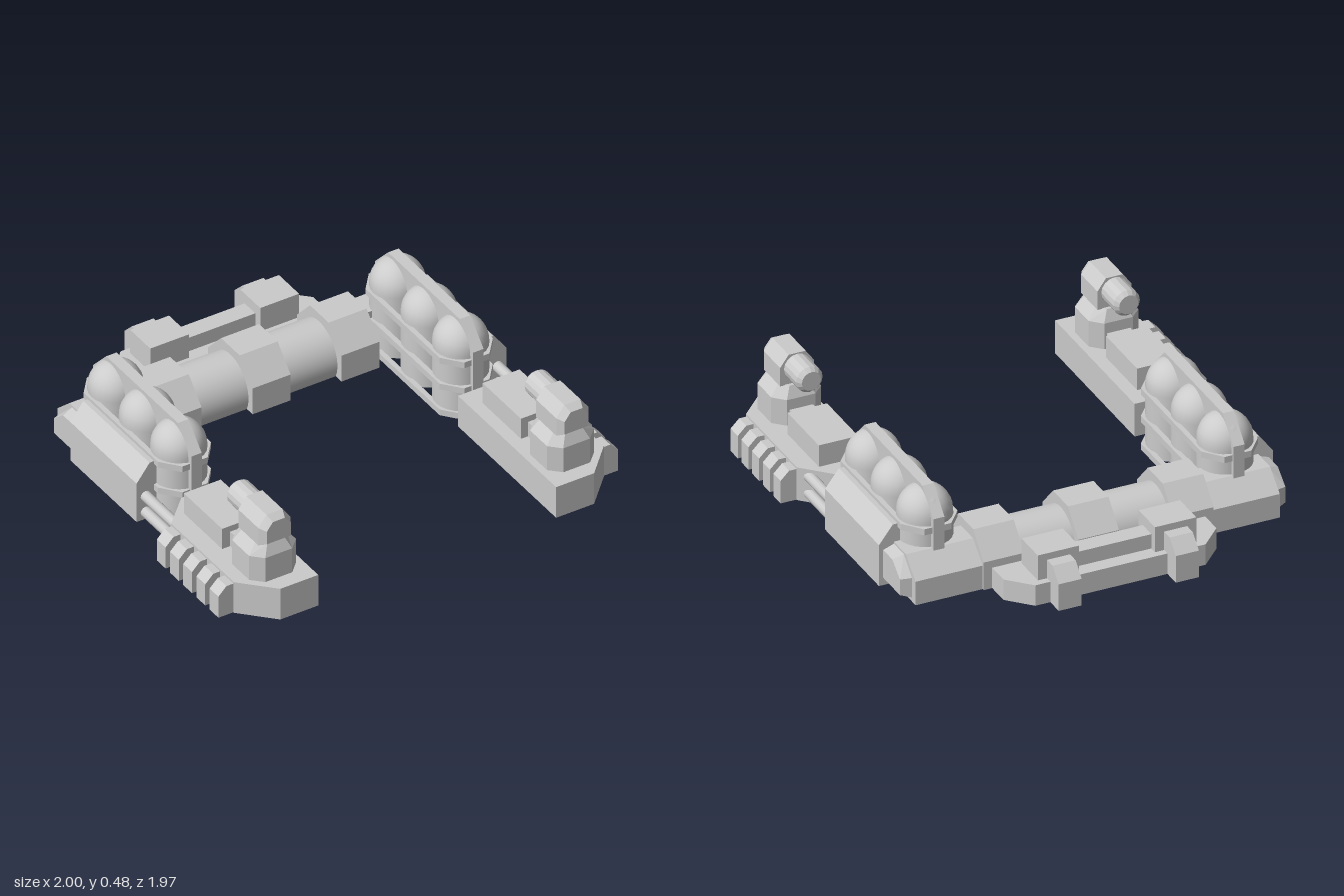
import * as THREE from 'three';

const mat = new THREE.MeshStandardMaterial({ color: 0xcccccc, side: THREE.DoubleSide });
const flat = new THREE.MeshStandardMaterial({ color: 0xcccccc, side: THREE.DoubleSide, flatShading: true });

function add(parent, name, geo, material = mat) {
  const m = new THREE.Mesh(geo, material);
  m.name = name;
  parent.add(m);
  return m;
}

const toShape = (pts) => new THREE.Shape(pts.map(([a, b]) => new THREE.Vector2(a, b)));
const extrude = (shape, depth) => new THREE.ExtrudeGeometry(shape, { depth, bevelEnabled: false });

// plan outline of [x, z] points raised from y0 to y1, with an optional hole
function plan(pts, y0, y1, hole) {
  const s = toShape(pts.map(([x, z]) => [x, -z]));
  if (hole) s.holes.push(toShape(hole.map(([x, z]) => [x, -z])));
  return extrude(s, y1 - y0).rotateX(-Math.PI / 2).translate(0, y0, 0);
}

// side profile of [z, y] points running from x0 to x1
function alongX(pts, x0, x1) {
  return extrude(toShape(pts.map(([z, y]) => [-z, y])), x1 - x0).rotateY(Math.PI / 2).translate(x0, 0, 0);
}

// front profile of [x, y] points running from z0 to z1
function alongZ(pts, z0, z1) {
  return extrude(toShape(pts), z1 - z0).translate(0, 0, z0);
}

function box(x0, x1, y0, y1, z0, z1) {
  return new THREE.BoxGeometry(x1 - x0, y1 - y0, z1 - z0)
    .translate((x0 + x1) / 2, (y0 + y1) / 2, (z0 + z1) / 2);
}

// shrink the end of a solid that lies at the given coordinate on an axis
function taper(geo, axis, at, centre, scale) {
  const p = geo.attributes.position;
  const v = new THREE.Vector3();
  for (let i = 0; i < p.count; i++) {
    v.fromBufferAttribute(p, i);
    if (Math.abs(v[axis] - at) > 1e-4) continue;
    for (const k of ['x', 'y', 'z']) if (k !== axis) v[k] = centre[k] + (v[k] - centre[k]) * scale[k];
    p.setXYZ(i, v.x, v.y, v.z);
  }
  geo.computeVertexNormals();
  return geo;
}

// drop the faces lying on the ground so the hull is hollow below
function hollow(geo) {
  const g = geo.index ? geo.toNonIndexed() : geo;
  const p = g.attributes.position.array;
  const keep = [];
  for (let i = 0; i < p.length; i += 9) {
    if (Math.max(p[i + 1], p[i + 4], p[i + 7]) > 1e-4) keep.push(...p.slice(i, i + 9));
  }
  const out = new THREE.BufferGeometry();
  out.setAttribute('position', new THREE.Float32BufferAttribute(keep, 3));
  out.computeVertexNormals();
  return out;
}

// rectangle with cut corners
function cutRect(x0, x1, z0, z1, cx, cz) {
  return [[x0 + cx, z0], [x1 - cx, z0], [x1, z0 + cz], [x1, z1 - cz],
    [x1 - cx, z1], [x0 + cx, z1], [x0, z1 - cz], [x0, z0 + cz]];
}

function frontPod() {
  const g = new THREE.Group();
  g.name = 'frontPod';
  add(g, 'podHull', hollow(plan([[0.595, 0.2], [0.79, 0.2], [0.925, 0.335], [0.925, 0.835],
    [0.785, 0.98], [0.595, 0.98]], 0, 0.16)));
  add(g, 'podBox', box(0.655, 0.84, 0.16, 0.265, 0.3, 0.605));
  add(g, 'podLink', box(0.69, 0.8, 0.16, 0.235, 0.605, 0.69));
  // side fins
  for (let i = 0; i < 5; i++) {
    const z = 0.34 + i * 0.105;
    add(g, 'sideFin', hollow(alongZ([[0.92, 0], [1, 0], [1, 0.11], [0.96, 0.15], [0.92, 0.15]], z, z + 0.07)));
  }
  // turret
  const cx = 0.745;
  const oct = cutRect(cx - 0.117, cx + 0.117, 0.67, 0.905, 0.05, 0.05);
  add(g, 'turretBase', plan(oct, 0.16, 0.285));
  add(g, 'turretShoulder', taper(plan(oct, 0.285, 0.338), 'y', 0.338,
    new THREE.Vector3(cx, 0, 0.79), { x: 0.65, z: 0.8 }));
  const head = [[-0.08, 0.335], [0.08, 0.335], [0.08, 0.425], [0.04, 0.48], [-0.04, 0.48], [-0.08, 0.425]]
    .map(([x, y]) => [x + cx, y]);
  add(g, 'turretHead', alongZ(head, 0.71, 0.87));
  add(g, 'turretFace', taper(alongZ(head, 0.87, 0.905), 'z', 0.905,
    new THREE.Vector3(cx, 0.405, 0), { x: 0.75, y: 0.72 }));
  const barrel = [[0, 0], [0.045, 0], [0.062, 0.02], [0.062, 0.15]].map(([r, h]) => new THREE.Vector2(r, h));
  add(g, 'turretBarrel', new THREE.LatheGeometry(barrel, 16).rotateX(Math.PI / 2).translate(cx, 0.413, 0.57), flat);
  return g;
}

function tankRack() {
  const g = new THREE.Group();
  g.name = 'tankRack';
  const cx = 0.705;
  // domed tanks
  for (let i = 0; i < 3; i++) {
    const pts = [new THREE.Vector2(0.122, 0), new THREE.Vector2(0.122, 0.31)];
    for (let k = 1; k <= 8; k++) {
      const a = (k / 8) * Math.PI / 2;
      pts.push(new THREE.Vector2(0.122 * Math.cos(a), 0.315 + 0.125 * Math.sin(a)));
    }
    add(g, 'tank', new THREE.LatheGeometry(pts, 24).translate(cx, 0, 0.045 - i * 0.25));
  }
  // straps and central rib
  const outer = cutRect(0.572, 0.838, -0.585, 0.175, 0.07, 0.085);
  const inner = cutRect(0.595, 0.815, -0.56, 0.15, 0.065, 0.08);
  for (const y of [0, 0.135, 0.27]) add(g, 'strap', plan(outer, y, y + 0.03, inner));
  add(g, 'rib', alongX([[0.187, 0], [0.187, 0.345], [0.08, 0.455], [-0.49, 0.455], [-0.595, 0.345], [-0.595, 0]],
    cx - 0.026, cx + 0.026));
  // outer armour
  add(g, 'sidePanel', hollow(alongZ([[0.825, 0], [0.925, 0], [0.925, 0.2], [0.86, 0.285], [0.825, 0.285]],
    -0.467, 0.06)));
  // pipes to the front pod
  for (const y of [0.038, 0.12]) {
    add(g, 'pipe', new THREE.CylinderGeometry(0.025, 0.025, 0.29, 12).rotateX(Math.PI / 2).translate(0.88, y, 0.19));
  }
  return g;
}

function rearCorner() {
  const g = new THREE.Group();
  g.name = 'rearCorner';
  add(g, 'cornerArm', hollow(alongX([[-0.467, 0], [-0.467, 0.2], [-0.585, 0.2], [-0.68, 0.115], [-0.68, 0]], 0.5, 0.855)));
  add(g, 'cornerBoss', taper(alongX([[-0.467, 0.02], [-0.467, 0.19], [-0.565, 0.19], [-0.645, 0.115], [-0.645, 0.02]],
    0.855, 0.905), 'x', 0.905, new THREE.Vector3(0, 0.1, -0.467), { y: 0.8, z: 0.92 }));
  return g;
}

function rearBridge() {
  const g = new THREE.Group();
  g.name = 'rearBridge';
  // round beam with three angular collars
  add(g, 'beam', new THREE.CylinderGeometry(0.145, 0.145, 1.08, 28, 1, true, Math.PI / 2 - 2, 4)
    .rotateZ(Math.PI / 2).translate(0, 0.06, -0.515));
  for (const x of [-0.445, 0, 0.445]) {
    add(g, 'collar', hollow(alongX([[-0.337, 0], [-0.337, 0.135], [-0.44, 0.245], [-0.588, 0.245],
      [-0.69, 0.135], [-0.69, 0]], x - 0.095, x + 0.095)));
  }
  // rear deck with its boxes and buttresses
  add(g, 'rearDeck', hollow(plan([[-0.5, -0.64], [-0.5, -0.8], [-0.4, -0.903], [0.4, -0.903],
    [0.5, -0.8], [0.5, -0.64]], 0, 0.1)));
  add(g, 'deckBar', box(-0.18, 0.18, 0.1, 0.17, -0.835, -0.75));
  for (const s of [-1, 1]) {
    add(g, 'deckBox', box(s * 0.275 - 0.097, s * 0.275 + 0.097, 0.1, 0.222, -0.87, -0.71));
    add(g, 'buttress', hollow(alongX([[-0.85, 0], [-0.85, 0.19], [-0.925, 0.19], [-0.985, 0.13], [-0.985, 0]],
      s * 0.275 - 0.054, s * 0.275 + 0.054)));
  }
  return g;
}

export function createModel() {
  const model = new THREE.Group();
  model.name = 'model';
  model.add(rearBridge());
  for (const s of [1, -1]) {
    const side = new THREE.Group();
    side.name = s > 0 ? 'leftSide' : 'rightSide';
    side.add(frontPod(), tankRack(), rearCorner());
    side.scale.x = s;
    model.add(side);
  }
  return model;
}
